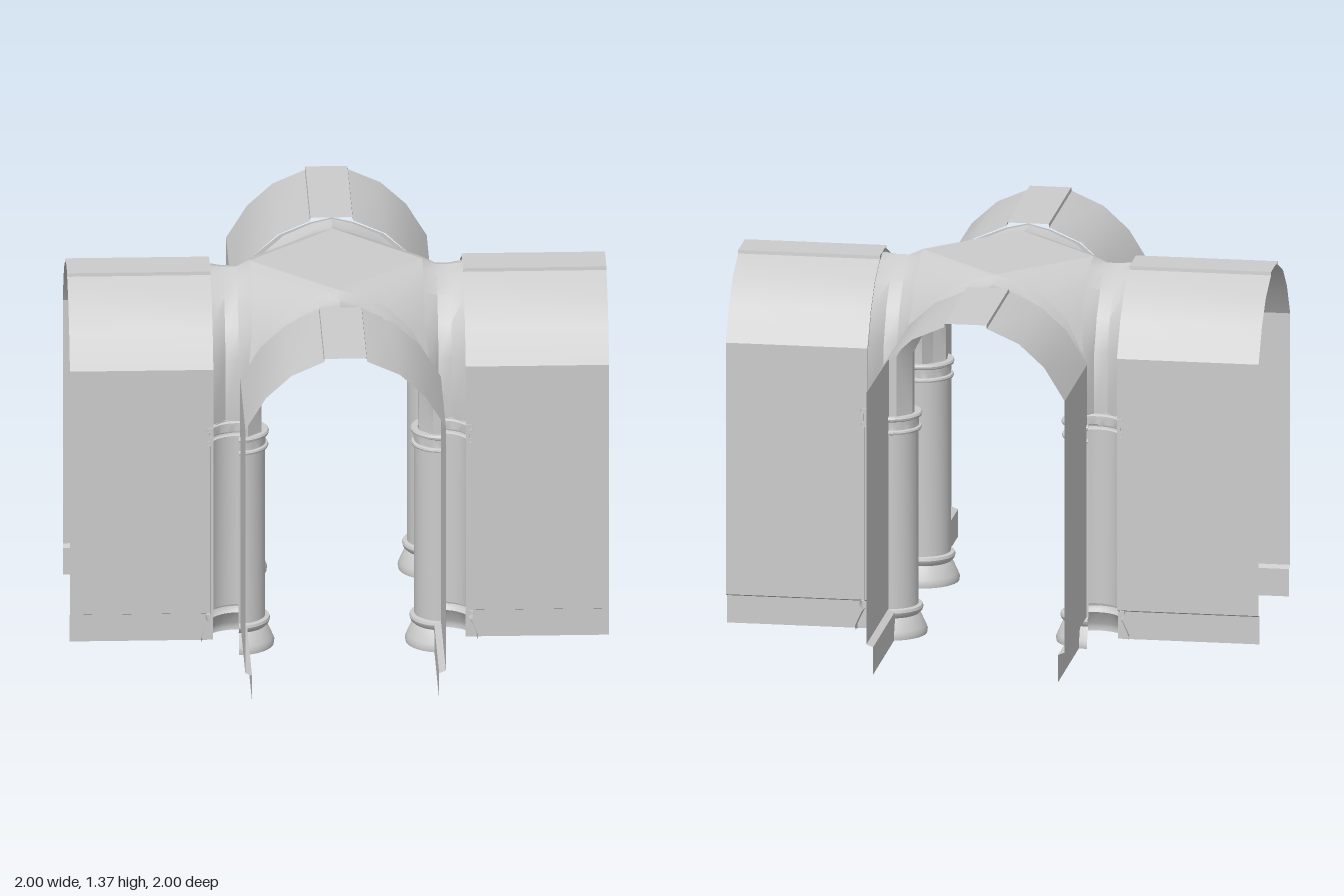
import * as THREE from 'three';
import { toCreasedNormals } from 'three/addons/utils/BufferGeometryUtils.js';

const HALF = 0.372;    // half width of a passage
const SPRING = 1.08;   // height where the vaults start
const COL = 0.378;     // column centre in x and z
const material = new THREE.MeshStandardMaterial({ color: 0xcccccc, side: THREE.DoubleSide });

// Pointed arch as fractions of half width and rise, from springing to crown
const ARCH = [[1, 0], [0.79, 0.45], [0.52, 0.76], [0.22, 0.93], [0, 1]];

// Surface through rows of [x, y, z] points
function loft(rows, crease = 0.5) {
  const n = rows[0].length;
  const index = [];
  for (let r = 0; r < rows.length - 1; r++) {
    for (let c = 0; c < n - 1; c++) {
      const a = r * n + c, b = a + 1, d = a + n, e = d + 1;
      index.push(a, d, b, b, d, e);
    }
  }
  const geo = new THREE.BufferGeometry();
  geo.setAttribute('position', new THREE.Float32BufferAttribute(rows.flat(2), 3));
  geo.setIndex(index);
  return toCreasedNormals(geo, crease);
}

function add(parent, name, geo) {
  const mesh = new THREE.Mesh(geo, material);
  mesh.name = name;
  parent.add(mesh);
  return mesh;
}

// Passage along +x: skirting set inwards, wall, vault and raised crown strip
function passage() {
  const half = [
    [0.347, 0], [0.347, 0.105], [HALF, 0.115], [HALF, SPRING],
    [0.295, 1.205], [0.2, 1.292], [0.08, 1.345], [0.078, 1.358],
  ];
  const section = [...half, ...half.map(([z, y]) => [-z, y]).reverse()];
  return loft([0.468, 1].map(x => section.map(([z, y]) => [x, y, z])));
}

// Edge shared by the transverse rib and the central vault
function vaultEdge(i) {
  if (i === 0) return [0.335, SPRING, 0.335];
  return [0.32, [0, 1.21, 1.30, 1.35, 1.37][i], ARCH[i][0] / 0.79 * 0.27];
}

// Trough-shaped rib across the mouth of the passage, rising from two shafts
function rib() {
  const profile = [[0.47, HALF, 1.357], [0.47, 0.343, 1.352], [0.42, 0.292, 1.347], [0.37, 0.292, 1.347]];
  const side = ARCH.map(([w, h], i) => [
    ...profile.map(([x, z, top]) => [x, SPRING + (top - SPRING) * h, z * w]),
    vaultEdge(i),
  ]);
  side.unshift(side[0].map(([x, , z]) => [x, 0.845, z]));
  const mirrored = side.slice(0, -1).reverse().map(row => row.map(([x, y, z]) => [x, y, -z]));
  return loft([...side, ...mirrored]);
}

// Drooping corner of the central vault, down to the column's diagonal face
function vaultCorner() {
  return loft(ARCH.map((_, i) => {
    const [x, y, z] = vaultEdge(i);
    return [[x, y, z], [z, y, x]];
  }));
}

// Three-quarter column, open towards the outside corner
function column() {
  const profile = [
    [0.134, 0], [0.136, 0.015], [0.13, 0.03], [0.112, 0.07], [0.106, 0.078],
    [0.116, 0.088], [0.12, 0.1], [0.117, 0.11], [0.102, 0.113], [0.102, 0.78],
    [0.112, 0.783], [0.114, 0.789], [0.112, 0.795], [0.103, 0.798], [0.104, 0.83],
    [0.114, 0.835], [0.116, 0.843], [0.112, 0.85], [0.09, 0.85],
  ].map(([r, y]) => new THREE.Vector2(r, y));
  return toCreasedNormals(new THREE.LatheGeometry(profile, 24, Math.PI / 2, Math.PI * 1.5), 0.6);
}

export function createModel() {
  const model = new THREE.Group();
  model.name = 'vaultedCrossing';

  // Four identical quarters around the crossing
  const parts = { passage: passage(), rib: rib(), vaultCorner: vaultCorner(), column: column() };
  for (let i = 0; i < 4; i++) {
    const quarter = new THREE.Group();
    quarter.name = 'quarter' + (i + 1);
    quarter.rotation.y = i * Math.PI / 2;
    for (const name in parts) {
      const mesh = add(quarter, name, parts[name]);
      if (name === 'column') mesh.position.set(COL, 0, COL);
    }
    model.add(quarter);
  }

  // Flat diamond at the crown of the crossing
  const crown = add(model, 'vaultCrown', new THREE.CircleGeometry(0.32, 4));
  crown.rotation.x = -Math.PI / 2;
  crown.position.y = 1.37;
  return model;
}
